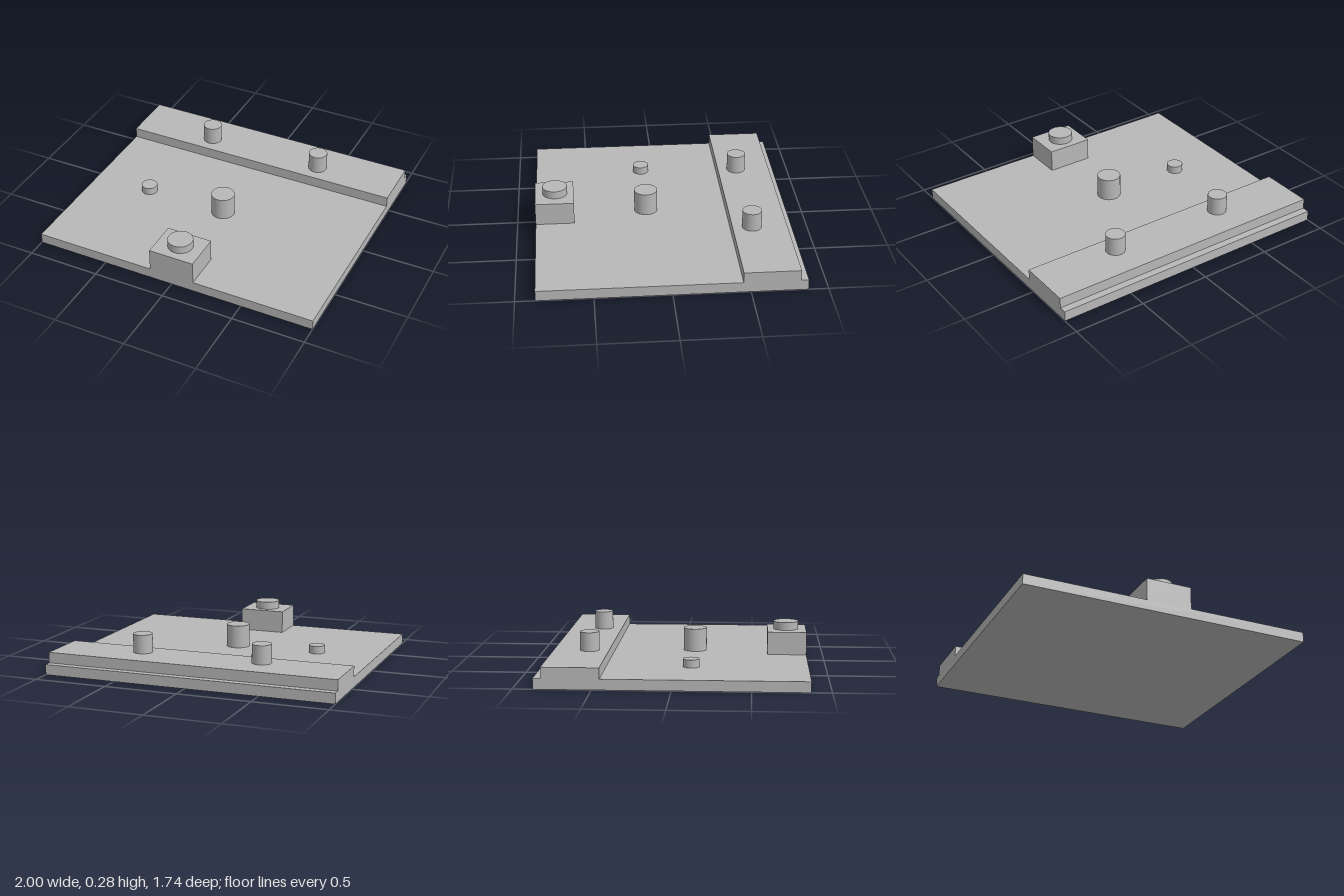
import * as THREE from 'three';

export function createModel() {
  const model = new THREE.Group();
  const grey = new THREE.MeshStandardMaterial({ color: 0xb8b8b8 });
  grey.name = 'grey';

  const add = (name, geometry, x, y, z) => {
    const mesh = new THREE.Mesh(geometry, grey);
    mesh.name = name;
    mesh.position.set(x, y, z);
    model.add(mesh);
  };

  // Round peg standing on the height y0
  const addPeg = (name, radius, x, z, y0, y1) =>
    add(name, new THREE.CylinderGeometry(radius, radius, y1 - y0, 48), x, (y0 + y1) / 2, z);

  const half = 0.87, baseTop = 0.07, ledgeTop = 0.142, blockTop = 0.225;

  // Base plate with the raised rear ledge, one side profile (z, y) drawn across the width
  const profile = new THREE.Shape([
    [-half, 0], [half, 0], [half, baseTop], [-0.45, baseTop],
    [-0.45, ledgeTop], [-0.82, ledgeTop], [-0.82, baseTop], [-half, baseTop],
  ].map(([z, y]) => new THREE.Vector2(z, y)));
  const plate = new THREE.ExtrudeGeometry(profile, { depth: 2, bevelEnabled: false });
  plate.rotateY(-Math.PI / 2);
  add('basePlateWithLedge', plate, 1, 0, 0);

  // Front block, flush with the front edge, and its round button
  const blockDepth = 0.265;
  add('frontBlock', new THREE.BoxGeometry(0.316, blockTop - baseTop, blockDepth),
    0, (blockTop + baseTop) / 2, half - blockDepth / 2);
  addPeg('frontButton', 0.085, 0, 0.733, blockTop, 0.279);

  // Pegs on the plate
  addPeg('centrePeg', 0.08, 0, 0.105, baseTop, 0.226);
  addPeg('smallPeg', 0.055, -0.58, 0.105, baseTop, 0.123);

  // Pair of pegs on the ledge
  for (const [name, side] of [['leftLedgePeg', 1], ['rightLedgePeg', -1]])
    addPeg(name, 0.065, side * 0.42, -0.58, ledgeTop, 0.268);

  return model;
}
